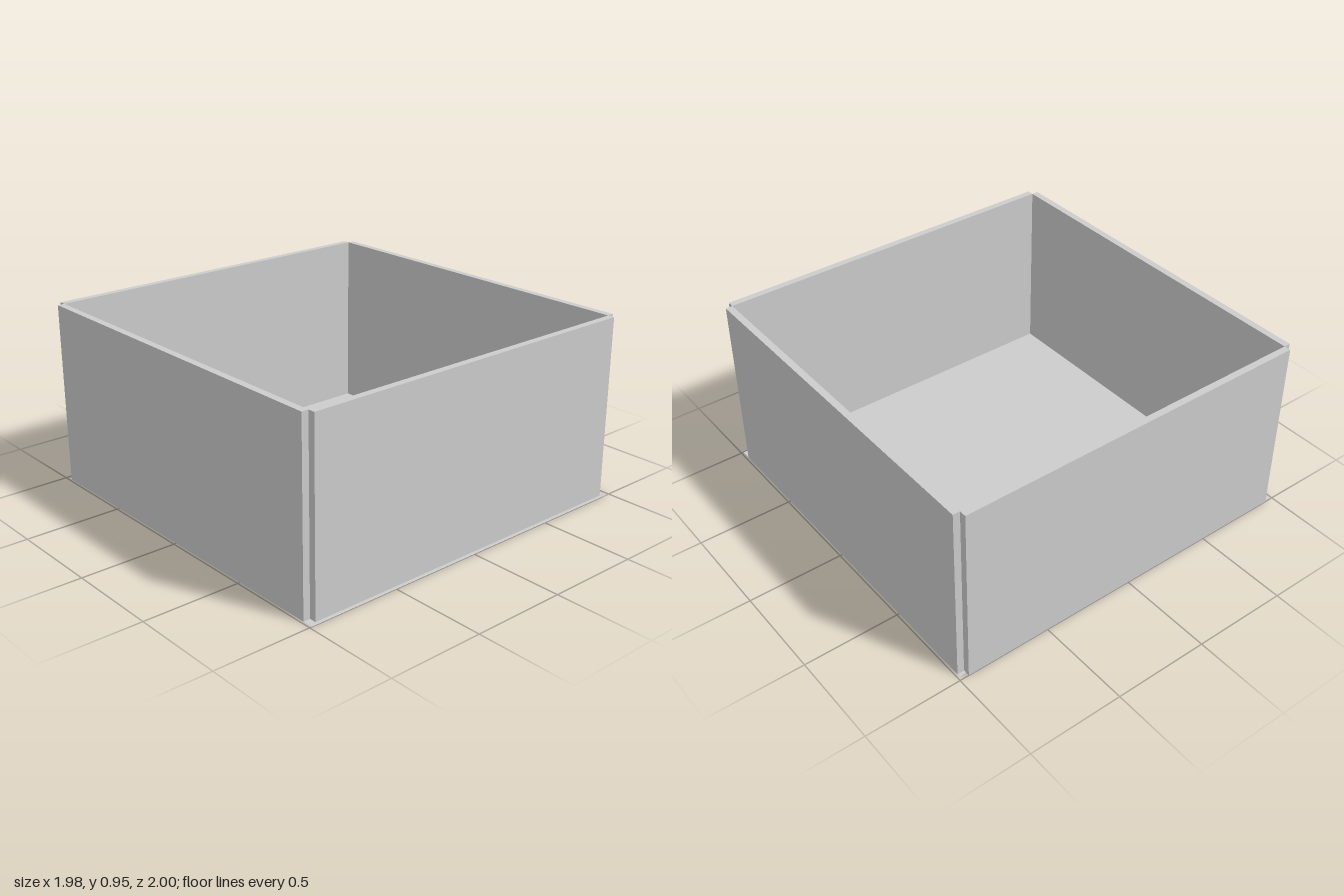
import * as THREE from 'three';

const HEIGHT = 0.955;
const THICK = 0.036;
const INNER_X = 0.952; // inner face of the side walls
const INNER_FRONT = 0.945;
const INNER_BACK = -0.964;

export function createModel() {
  const group = new THREE.Group();
  const material = new THREE.MeshStandardMaterial({ color: 0xcccccc, flatShading: true });
  const sheet = material.clone();
  sheet.side = THREE.DoubleSide;

  const add = (name, geometry, mat, x, y, z) => {
    const mesh = new THREE.Mesh(geometry, mat);
    mesh.name = name;
    mesh.position.set(x, y, z);
    group.add(mesh);
  };
  const flat = (w, d) => new THREE.PlaneGeometry(w, d).rotateX(-Math.PI / 2);

  // Front and back walls sit between the side walls' inner faces, leaving open corner notches
  const endWall = new THREE.BoxGeometry(2 * INNER_X, HEIGHT, THICK);
  add('frontWall', endWall, material, 0, HEIGHT / 2, INNER_FRONT + THICK / 2);
  add('backWall', endWall, material, 0, HEIGHT / 2, INNER_BACK - THICK / 2);

  // Mirrored side walls
  const sideWall = new THREE.BoxGeometry(THICK, HEIGHT, INNER_FRONT - INNER_BACK);
  for (const [name, s] of [['leftWall', 1], ['rightWall', -1]]) {
    add(name, sideWall, material, s * (INNER_X + THICK / 2), HEIGHT / 2, (INNER_FRONT + INNER_BACK) / 2);
  }

  // Thin floor sheet, set slightly forward, with a small flat patch in the middle
  add('floor', flat(1.976, 1.98), sheet, 0, 0, 0.01);
  add('floorPatch', flat(0.22, 0.23), sheet, -0.02, 0.002, -0.005);

  return group;
}
